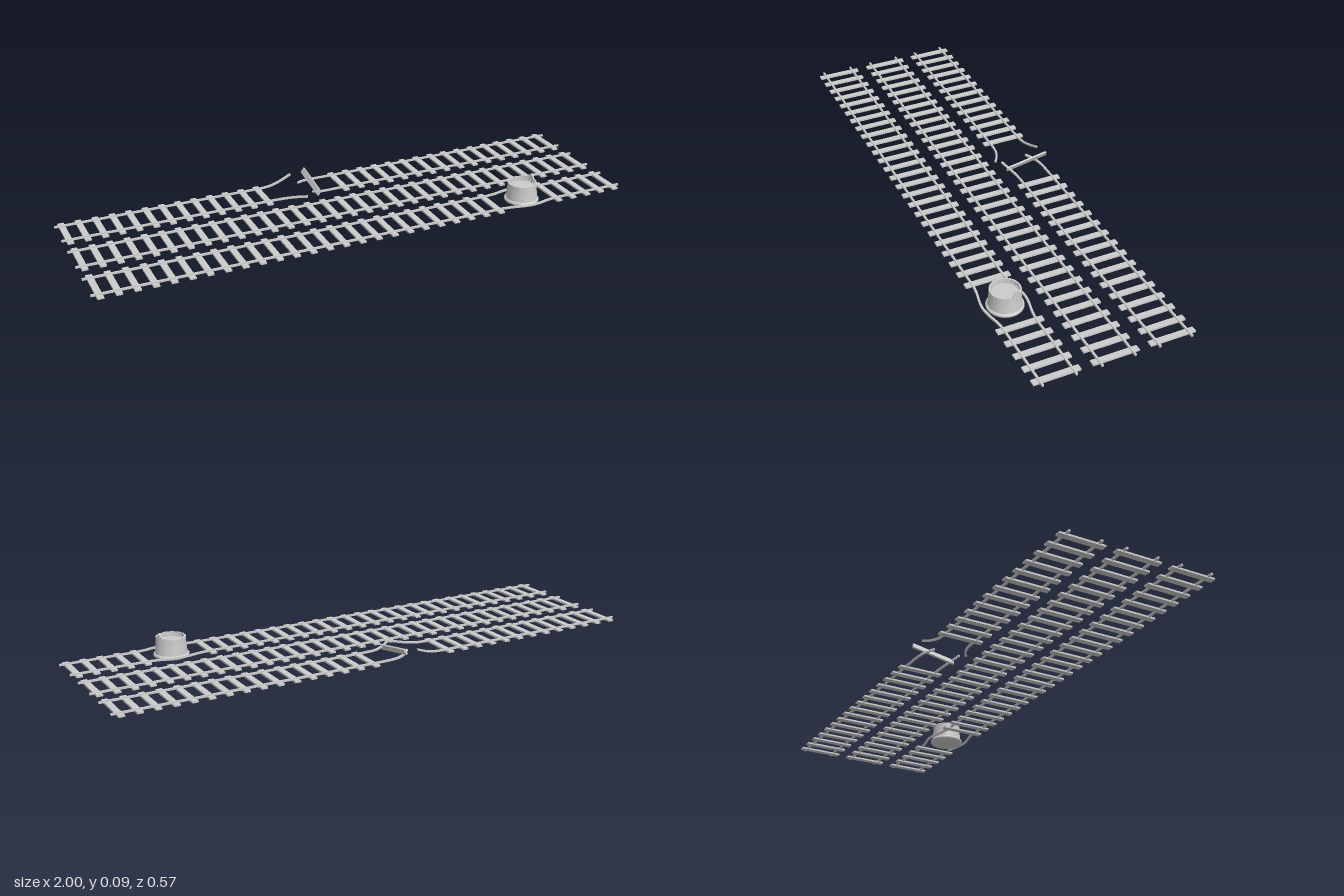
import * as THREE from 'three';
import { toCreasedNormals } from 'three/addons/utils/BufferGeometryUtils.js';

const grey = new THREE.MeshStandardMaterial({ color: 0xcccccc });
const open = new THREE.MeshStandardMaterial({ color: 0xcccccc, side: THREE.DoubleSide });

const STEP = 0.0608, GAUGE = 0.057, RAIL_Y = 0.0145, TRACK_Z = 0.202;

function add(parent, name, geometry, material = grey) {
  const mesh = new THREE.Mesh(geometry, material);
  mesh.name = name;
  parent.add(mesh);
  return mesh;
}

// Rail: a bar whose vertices follow a curve through [x, y, z] points
function rail(parent, name, points) {
  const curve = new THREE.CatmullRomCurve3(points.map(p => new THREE.Vector3(...p)), false, 'centripetal');
  const segments = points.length > 2 ? 40 : 1;
  const geo = new THREE.BoxGeometry(1, 0.007, 0.007, segments, 1, 1);
  const pos = geo.attributes.position;
  for (let i = 0; i < pos.count; i++) {
    const t = THREE.MathUtils.clamp(pos.getX(i) + 0.5, 0, 1);
    const p = curve.getPoint(t), d = curve.getTangent(t);
    const side = new THREE.Vector3(-d.z, 0, d.x).normalize();
    const up = new THREE.Vector3().crossVectors(side, d);
    p.addScaledVector(side, pos.getZ(i)).addScaledVector(up, pos.getY(i));
    pos.setXYZ(i, p.x, p.y, p.z);
  }
  return add(parent, name, toCreasedNormals(geo, 0.6));
}

const sleeperGeometry = new THREE.BoxGeometry(0.022, 0.0065, 0.162);

function sleepers(parent, skip) {
  for (let i = -16; i <= 16; i++) {
    if (skip.includes(i)) continue;
    add(parent, 'sleeper', sleeperGeometry).position.set(i * STEP, 0.0112, 0);
  }
}

function track(root, name, z, skip = []) {
  const group = new THREE.Group();
  group.name = name;
  group.position.z = z;
  sleepers(group, skip);
  root.add(group);
  return group;
}

// Broken tree stump: flared foot, hollow wall and a splintered rim
function stump() {
  const group = new THREE.Group();
  group.name = 'stump';
  const foot = [[0, 0], [0.056, 0], [0.061, 0.003], [0.063, 0.006], [0.063, 0.011], [0.06, 0.015], [0.056, 0.016]];
  add(group, 'stumpFoot', toCreasedNormals(
    new THREE.LatheGeometry(foot.map(p => new THREE.Vector2(...p)), 40), 0.6), open);

  const wall = [[0.057, 0.014], [0.0555, 0.03], [0.0535, 0.05], [0.053, 0.074], [0.047, 0.074], [0.046, 0.058], [0, 0.06]];
  const geo = new THREE.LatheGeometry(wall.map(p => new THREE.Vector2(...p)), 64);
  const pos = geo.attributes.position;
  const tooth = (angle, centre, width, height) => {
    const off = Math.abs(Math.atan2(Math.sin(angle - centre), Math.cos(angle - centre)));
    return Math.max(0, 1 - off / width) * height;
  };
  for (let i = 0; i < pos.count; i++) {
    if (pos.getY(i) < 0.07) continue;
    const a = Math.atan2(pos.getZ(i), pos.getX(i));
    pos.setY(i, pos.getY(i) - 0.002 + 0.002 * Math.abs(Math.sin(a * 7))
      + tooth(a, -0.33, 0.36, 0.02) + tooth(a, -0.9, 0.3, 0.006));
  }
  add(group, 'stumpTrunk', toCreasedNormals(geo, 0.7), open);

  // Splinters round the inside of the rim
  for (let i = 0; i < 18; i++) {
    const a = i / 18 * Math.PI * 2;
    const splinter = add(group, 'splinter', new THREE.ConeGeometry(0.005, 0.016, 4));
    splinter.position.set(Math.cos(a) * 0.046, 0.064, Math.sin(a) * 0.046);
    splinter.rotation.y = -a;
  }
  return group;
}

export function createModel() {
  const root = new THREE.Group();
  root.name = 'railwayTracks';

  // Middle track: intact
  const middle = track(root, 'straightTrack', 0);
  for (const s of [-1, 1]) rail(middle, 'rail', [[-1, RAIL_Y, s * GAUGE], [1, RAIL_Y, s * GAUGE]]);

  // Front track: rails swell around the stump
  const front = track(root, 'stumpTrack', TRACK_Z, [9, 10, 11]);
  for (const s of [-1, 1]) {
    const z = s * GAUGE;
    rail(front, 'rail', [[-1, RAIL_Y, z], [0.5, RAIL_Y, z]]);
    rail(front, 'bentRail', [[0.5, RAIL_Y, z], [0.535, RAIL_Y, z + s * 0.004], [0.58, RAIL_Y, z + s * 0.014],
      [0.615, RAIL_Y, z + s * 0.018], [0.65, RAIL_Y, z + s * 0.014], [0.695, RAIL_Y, z + s * 0.004], [0.73, RAIL_Y, z]]);
    rail(front, 'rail', [[0.73, RAIL_Y, z], [1, RAIL_Y, z]]);
  }
  const trunk = stump();
  trunk.position.set(0.616, 0, -0.002);
  front.add(trunk);

  // Back track: blown apart in the middle
  const back = track(root, 'brokenTrack', -TRACK_Z, [-3, -2, -1, 0]);
  for (const s of [-1, 1]) {
    rail(back, 'rail', [[-1, RAIL_Y, s * GAUGE], [-0.23, RAIL_Y, s * GAUGE]]);
    rail(back, 'rail', [[0.03, RAIL_Y, s * GAUGE], [1, RAIL_Y, s * GAUGE]]);
  }
  rail(back, 'brokenRail', [[-0.23, RAIL_Y, -0.057], [-0.19, 0.017, -0.06], [-0.145, 0.027, -0.068], [-0.105, 0.042, -0.074]]);
  rail(back, 'brokenRail', [[-0.23, RAIL_Y, 0.057], [-0.18, 0.0155, 0.061], [-0.14, 0.019, 0.075], [-0.105, 0.0235, 0.096]]);
  rail(back, 'brokenRail', [[0.03, RAIL_Y, -0.057], [-0.03, 0.016, -0.055], [-0.065, 0.02, -0.045], [-0.095, 0.027, -0.022]]);
  rail(back, 'brokenRail', [[0.03, RAIL_Y, 0.057], [-0.015, 0.0155, 0.06], [-0.05, 0.022, 0.07], [-0.08, 0.033, 0.083]]);

  // Loose sleeper tipped on its edge
  const loose = add(back, 'looseSleeper', sleeperGeometry);
  loose.position.set(-0.05, 0.031, -0.004);
  loose.rotation.set(0.175, 0, 1.1);
  return root;
}
